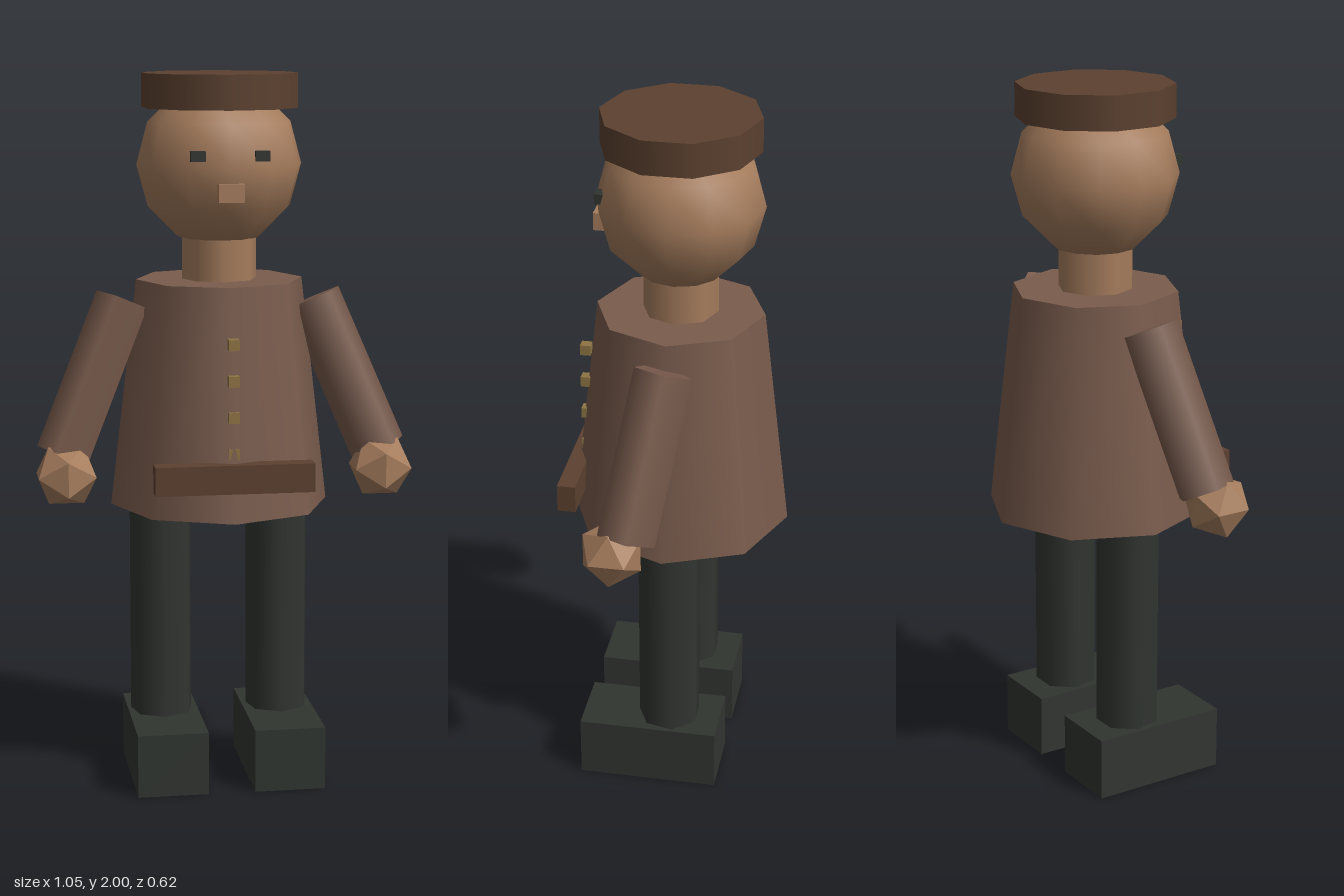
import * as THREE from 'three';

const material = (color, flatShading = false) => new THREE.MeshStandardMaterial({ color, flatShading });

export function createModel() {
  const model = new THREE.Group();
  const coatMat = material(0x7a5c4d);
  const leatherMat = material(0x5c412f);
  const skinMat = material(0xa67d5d);
  const facetedSkinMat = material(0xa67d5d, true);
  const darkMat = material(0x313530);
  const brassMat = material(0x8f7444);

  const add = (name, geometry, mat, x, y, z) => {
    const mesh = new THREE.Mesh(geometry, mat);
    mesh.name = name;
    mesh.position.set(x, y, z);
    model.add(mesh);
    return mesh;
  };
  const box = (w, h, d) => new THREE.BoxGeometry(w, h, d);

  // Flared octagonal coat with belt and a row of buttons
  add('coat', new THREE.CylinderGeometry(0.235, 0.31, 0.64, 8), coatMat, 0, 1.11, 0);
  add('belt', box(0.44, 0.08, 0.052), leatherMat, 0, 0.915, 0.287);
  for (let i = 0; i < 4; i++) {
    add('button' + (i + 1), box(0.03, 0.03, 0.03), brassMat, 0, 1.28 - i * 0.1, 0.27);
  }

  // Neck, head, nose and cap
  add('neck', new THREE.CylinderGeometry(0.105, 0.105, 0.14, 8), skinMat, 0, 1.49, 0);
  add('head', new THREE.SphereGeometry(0.232, 12, 6), skinMat, 0, 1.75, 0);
  add('nose', box(0.07, 0.05, 0.05), skinMat, 0, 1.685, 0.21);
  add('cap', new THREE.CylinderGeometry(0.22, 0.22, 0.095, 10), leatherMat, 0, 1.9525, 0);

  for (const [side, s] of [['left', 1], ['right', -1]]) {
    add(side + 'Eye', box(0.04, 0.028, 0.03), darkMat, s * 0.088, 1.783, 0.2);

    // Five-sided sleeve running from shoulder to wrist
    const shoulder = new THREE.Vector3(s * 0.268, 1.37, 0);
    const wrist = new THREE.Vector3(s * 0.445, 0.945, 0.07);
    const axis = shoulder.clone().sub(wrist);
    const sleeve = new THREE.CylinderGeometry(0.083, 0.083, axis.length(), 5);
    sleeve.rotateY(s * 0.45);
    const mid = shoulder.clone().add(wrist).multiplyScalar(0.5);
    const arm = add(side + 'Arm', sleeve, coatMat, mid.x, mid.y, mid.z);
    arm.quaternion.setFromUnitVectors(new THREE.Vector3(0, 1, 0), axis.normalize());

    add(side + 'Hand', new THREE.IcosahedronGeometry(0.094, 0), facetedSkinMat, s * 0.445, 0.9, 0.11);

    // Seven-sided leg on a block shoe
    add(side + 'Leg', new THREE.CylinderGeometry(0.09, 0.09, 0.64, 7), darkMat, s * 0.168, 0.485, 0.003);
    add(side + 'Shoe', box(0.2, 0.18, 0.4), darkMat, s * 0.166, 0.09, 0.053);
  }

  return model;
}
